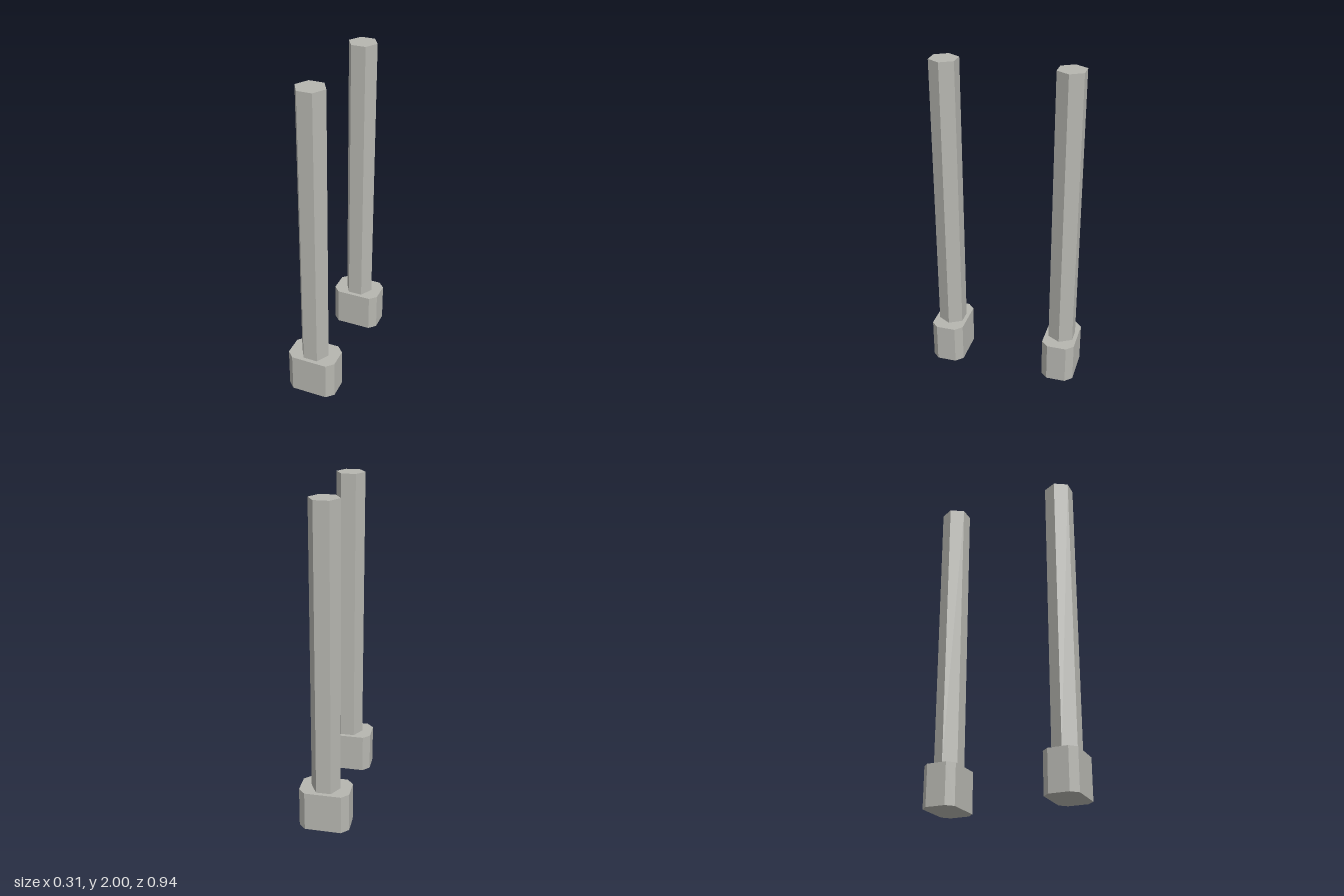
import * as THREE from 'three';

const BASE_HEIGHT = 0.25;
const TOTAL_HEIGHT = 2;
const SPACING = 0.367; // distance of each post from the centre

// Rectangle with cut corners, pulled up into a block standing on y = 0
function chamferedBlock(halfX, halfZ, cut, height) {
  const shape = new THREE.Shape([
    [halfX, -halfZ + cut], [halfX, halfZ - cut],
    [halfX - cut, halfZ], [-halfX + cut, halfZ],
    [-halfX, halfZ - cut], [-halfX, -halfZ + cut],
    [-halfX + cut, -halfZ], [halfX - cut, -halfZ],
  ].map(([x, y]) => new THREE.Vector2(x, y)));
  return new THREE.ExtrudeGeometry(shape, { depth: height, bevelEnabled: false })
    .rotateX(-Math.PI / 2);
}

export function createModel() {
  const model = new THREE.Group();
  model.name = 'postPair';

  const grey = new THREE.MeshStandardMaterial({ color: 0xb6b6b0, flatShading: true });
  grey.name = 'warm grey';

  const baseGeometry = chamferedBlock(0.153, 0.102, 0.042, BASE_HEIGHT);

  // Hexagonal shaft with its corners pointing left and right
  const shaftHeight = TOTAL_HEIGHT - BASE_HEIGHT;
  const shaftGeometry = new THREE.CylinderGeometry(0.089, 0.089, shaftHeight, 6)
    .rotateY(Math.PI / 6)
    .translate(0, BASE_HEIGHT + shaftHeight / 2, 0);

  for (const [side, name] of [[1, 'frontPost'], [-1, 'backPost']]) {
    const post = new THREE.Group();
    post.name = name;
    const base = new THREE.Mesh(baseGeometry, grey);
    base.name = 'base';
    const shaft = new THREE.Mesh(shaftGeometry, grey);
    shaft.name = 'shaft';
    post.add(base, shaft);
    post.position.z = side * SPACING;
    model.add(post);
  }
  return model;
}
